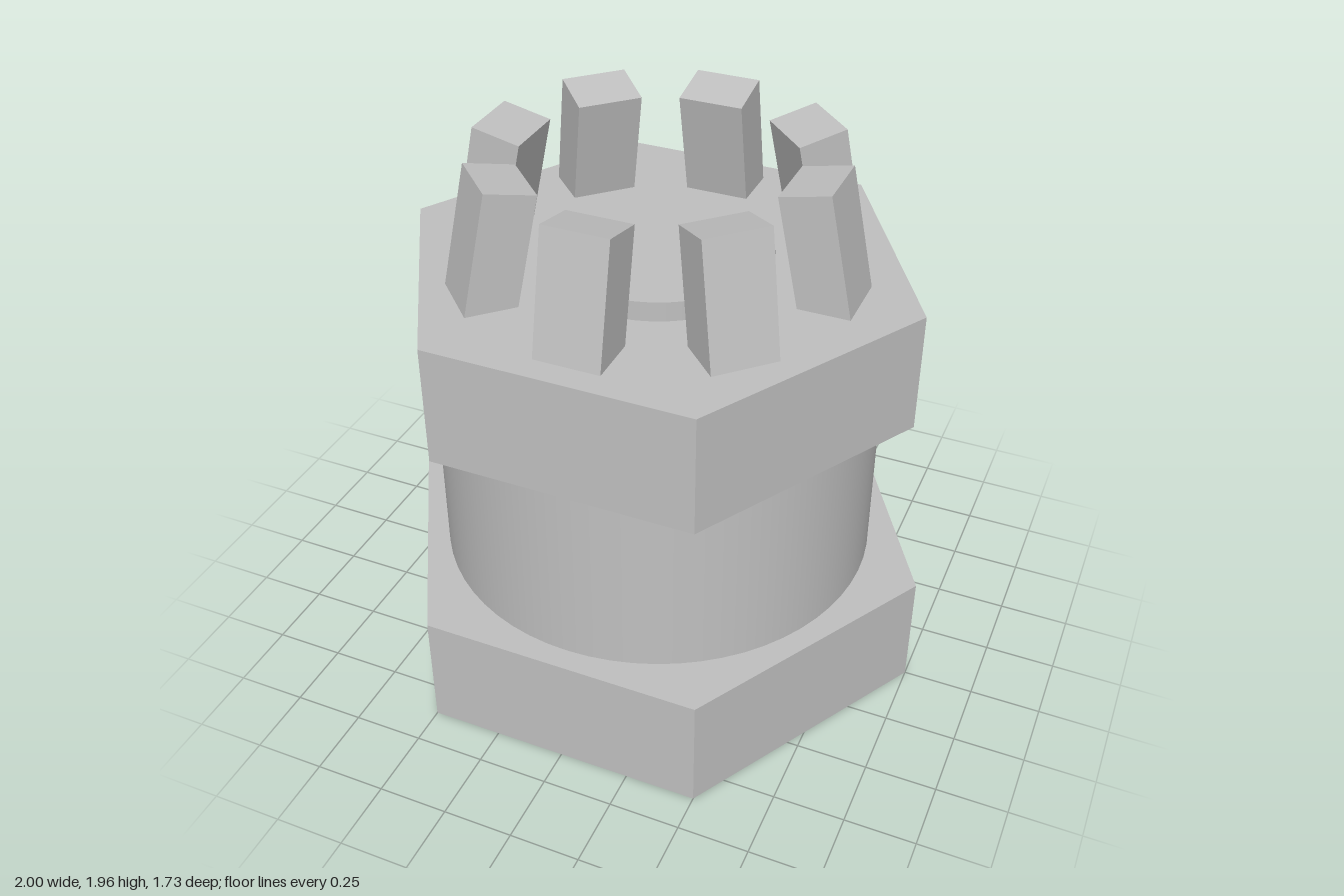
import * as THREE from 'three';

export function createModel() {
  const model = new THREE.Group();
  const steel = new THREE.MeshStandardMaterial({ color: 0xc0c0c0 });
  steel.name = 'steel grey';

  const add = (name, geometry, y) => {
    const mesh = new THREE.Mesh(geometry, steel);
    mesh.name = name;
    mesh.position.y = y;
    model.add(mesh);
    return mesh;
  };

  // Hexagonal prism with corners on the x axis and crisp facets
  const hexPrism = (radius, height) => {
    const g = new THREE.CylinderGeometry(radius, radius, height, 6, 1, false, Math.PI / 6).toNonIndexed();
    g.computeVertexNormals();
    return g;
  };

  add('baseHex', hexPrism(1, 0.43), 0.215);
  add('roundNeck', new THREE.CylinderGeometry(0.785, 0.785, 0.68, 64), 0.77);
  add('upperHex', hexPrism(0.925, 0.43), 1.325);
  add('centreDisc', new THREE.CylinderGeometry(0.39, 0.39, 0.07, 64), 1.575);

  // Ring of eight inward-leaning fingers, rooted in the upper hexagon
  const fingerGeometry = new THREE.BoxGeometry(0.176, 0.46, 0.23);
  fingerGeometry.rotateZ(THREE.MathUtils.degToRad(12));
  fingerGeometry.translate(0.582, 0, 0);
  for (let i = 0; i < 8; i++) {
    add('finger' + (i + 1), fingerGeometry, 1.717).rotation.y = (i * Math.PI) / 4;
  }

  return model;
}
